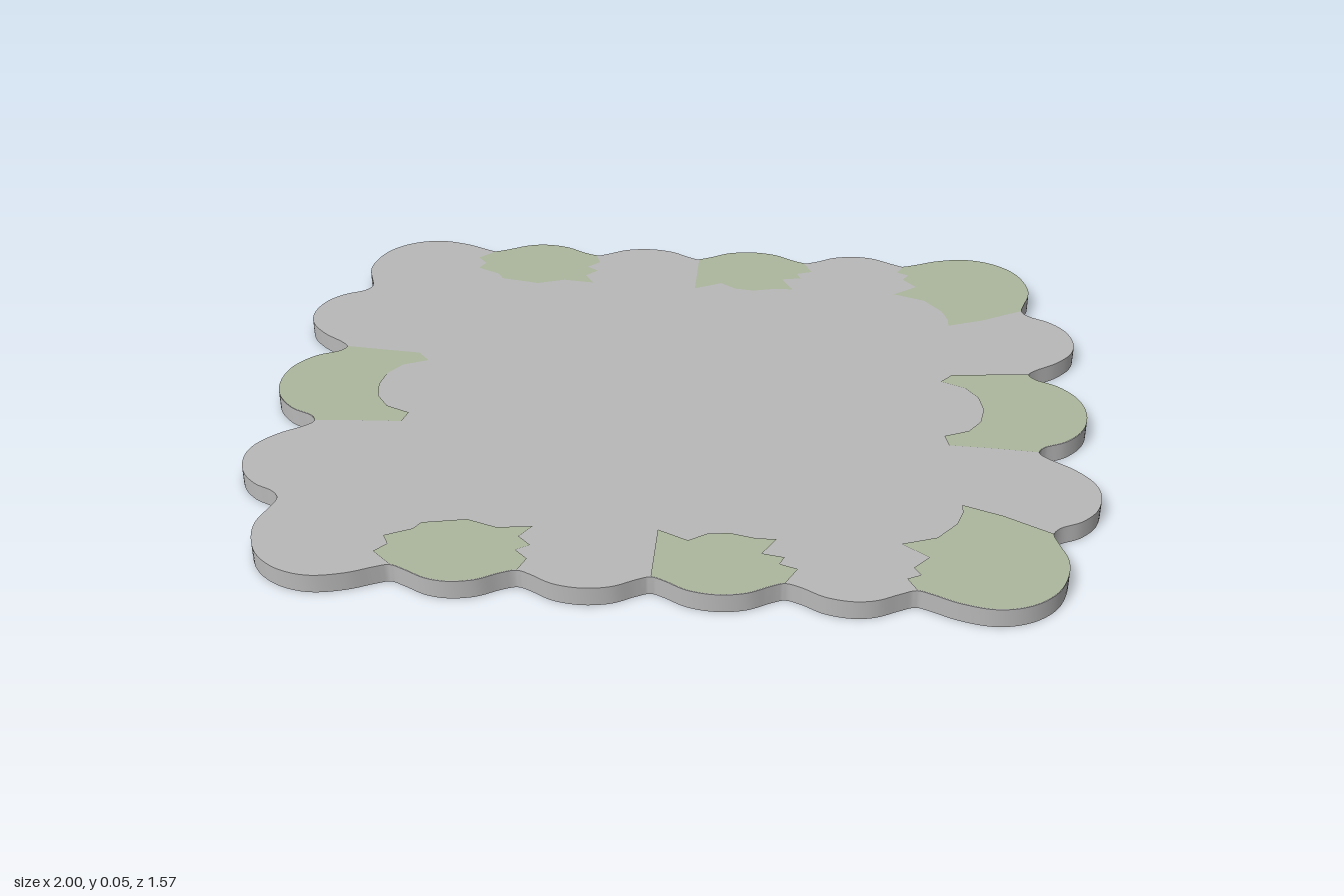
import * as THREE from 'three';
import { toCreasedNormals } from 'three/addons/utils/BufferGeometryUtils.js';

const HEIGHT = 0.046;
const STEPS = 5; // samples between neighbouring outline points

// One quarter of the scalloped outline, from the side middle to the end middle
const QUARTER = [
  [1, 0], [0.985, 0.07], [0.94, 0.125], [0.885, 0.155], [0.872, 0.178], [0.89, 0.2],
  [0.945, 0.24], [0.987, 0.29], [1, 0.34], [0.985, 0.405], [0.945, 0.452], [0.895, 0.48],
  [0.878, 0.505], [0.887, 0.545], [0.902, 0.595], [0.9, 0.645], [0.872, 0.715], [0.815, 0.765],
  [0.74, 0.785], [0.66, 0.77], [0.6, 0.743], [0.57, 0.733], [0.535, 0.748], [0.485, 0.774],
  [0.435, 0.782], [0.375, 0.771], [0.325, 0.743], [0.29, 0.731], [0.26, 0.743], [0.21, 0.771],
  [0.145, 0.782], [0.08, 0.771], [0.03, 0.743], [0, 0.731],
];

// Mirror the quarter into a closed smooth loop
function makeOutline() {
  const half = [...QUARTER, ...QUARTER.slice(0, -1).reverse().map(([x, y]) => [-x, y])];
  const loop = [...half, ...half.slice(1, -1).reverse().map(([x, y]) => [x, -y])];
  const curve = new THREE.CatmullRomCurve3(loop.map(([x, y]) => new THREE.Vector3(x, y, 0)), true);
  const n = loop.length * STEPS;
  return Array.from({ length: n }, (_, i) => {
    const p = curve.getPoint(i / n);
    return new THREE.Vector2(p.x, p.y);
  });
}

// Moss patches: outline span [from, to] closed by a ragged inner edge
const PATCHES = [
  { name: 'sideMoss', from: -4, to: 4, mirror: 'x', inner: [
    [0.77, 0.168], [0.68, 0.16], [0.65, 0.125], [0.71, 0.098], [0.74, 0.055], [0.75, 0],
    [0.74, -0.055], [0.71, -0.098], [0.65, -0.125], [0.66, -0.165], [0.77, -0.17]] },
  { name: 'cornerMoss', from: 12, to: 21, mirror: 'y', inner: [
    [0.55, 0.695], [0.58, 0.68], [0.565, 0.655], [0.6, 0.615], [0.54, 0.57], [0.62, 0.54],
    [0.665, 0.485], [0.68, 0.44], [0.68, 0.41], [0.77, 0.445]] },
  { name: 'rightEndMoss', from: 27, to: 33, mirror: 'y', inner: [
    [0, 0.56], [0.07, 0.595], [0.11, 0.567], [0.16, 0.56], [0.22, 0.575], [0.265, 0.575],
    [0.235, 0.63], [0.285, 0.64], [0.275, 0.665], [0.315, 0.68]] },
  { name: 'leftEndMoss', from: 39, to: 45, mirror: 'y', inner: [
    [-0.615, 0.69], [-0.59, 0.66], [-0.605, 0.63], [-0.545, 0.6], [-0.53, 0.575], [-0.43, 0.555],
    [-0.36, 0.58], [-0.28, 0.57], [-0.305, 0.61], [-0.275, 0.64], [-0.305, 0.66], [-0.275, 0.69]] },
];

export function createModel() {
  const stone = new THREE.MeshStandardMaterial({ color: 0xb8b8b8 });
  stone.name = 'stoneGrey';
  const moss = new THREE.MeshStandardMaterial({ color: 0xadb69c });
  moss.name = 'mossGreen';

  const model = new THREE.Group();
  model.name = 'scallopedSlab';
  const outline = makeOutline();

  // Slab body
  const body = new THREE.ExtrudeGeometry(new THREE.Shape(outline), { depth: HEIGHT, bevelEnabled: false });
  body.rotateX(-Math.PI / 2);
  const slab = new THREE.Mesh(toCreasedNormals(body, 0.7), stone);
  slab.name = 'slab';
  model.add(slab);

  // Moss patches on the top face, each with its mirrored twin
  for (const { name, from, to, mirror, inner } of PATCHES) {
    const points = [];
    for (let i = from * STEPS; i <= to * STEPS; i++) points.push(outline.at(i % outline.length));
    points.push(...inner.map(([x, y]) => new THREE.Vector2(x, y)));
    for (const flip of [1, -1]) {
      const shape = new THREE.Shape(points.map((p) =>
        new THREE.Vector2(mirror === 'x' ? p.x * flip : p.x, mirror === 'y' ? p.y * flip : p.y)));
      const geometry = new THREE.ShapeGeometry(shape);
      geometry.rotateX(-Math.PI / 2).translate(0, HEIGHT + 0.002, 0);
      const patch = new THREE.Mesh(geometry, moss);
      patch.name = name;
      model.add(patch);
    }
  }
  return model;
}
